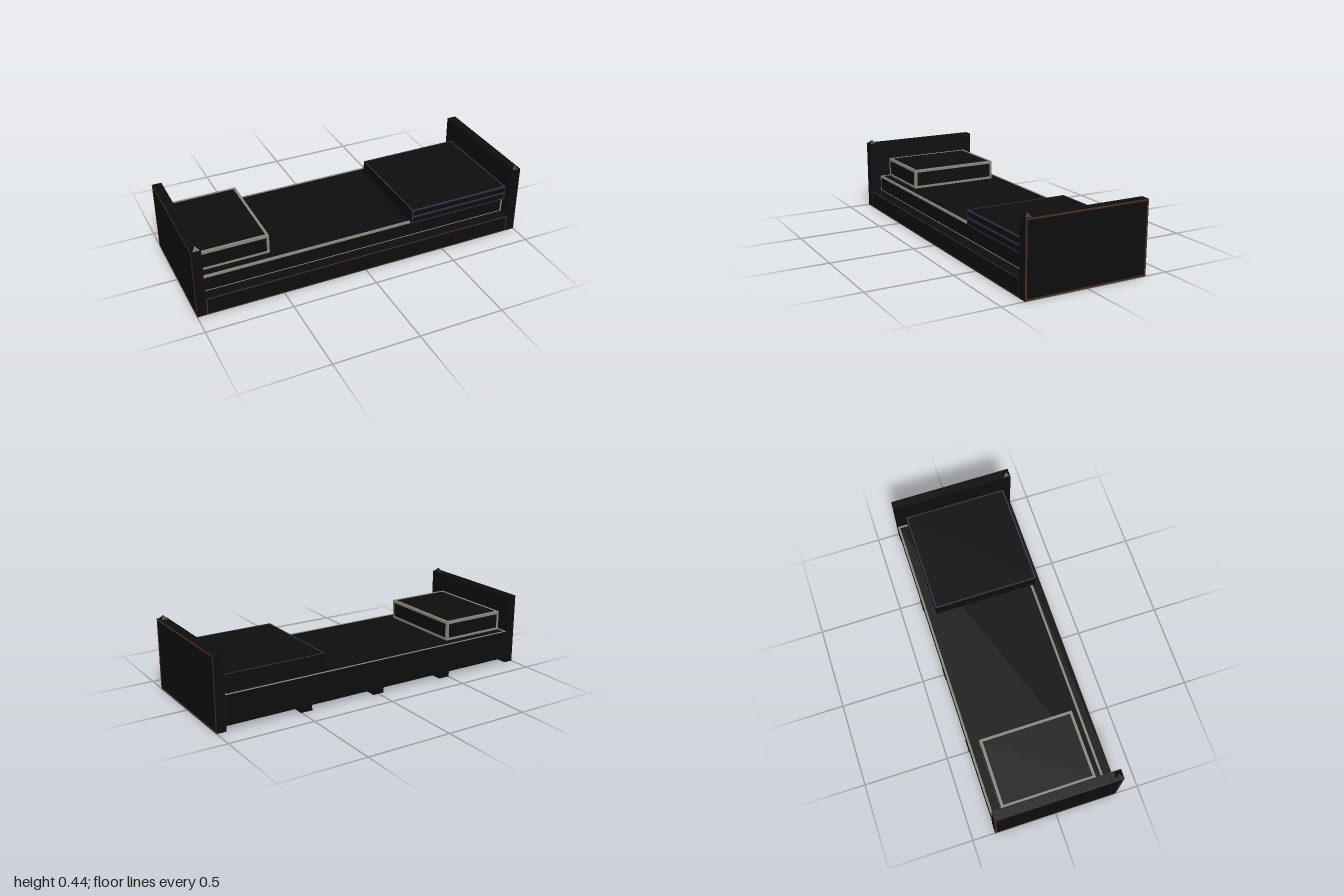
import * as THREE from 'three';

const DARK = 0x0d0d0d, CREAM = 0x85857a, BROWN = 0x4a2f1c, BLUE = 0x2a3348;

function add(parent, name, geometry, color) {
  const mesh = new THREE.Mesh(geometry, new THREE.MeshStandardMaterial({ color }));
  mesh.name = name;
  parent.add(mesh);
  return mesh;
}

// Box given by its lower and upper limits on each axis
function block(parent, name, [x0, x1], [y0, y1], [z0, z1], color = DARK) {
  const mesh = add(parent, name, new THREE.BoxGeometry(x1 - x0, y1 - y0, z1 - z0), color);
  mesh.position.set((x0 + x1) / 2, (y0 + y1) / 2, (z0 + z1) / 2);
  return mesh;
}

// Thin border lying on one side of a block
function edging(mesh, side, t, color) {
  const { width, height, depth } = mesh.geometry.parameters;
  const [w, h, d, rx, ry] = {
    front: [width, height, depth, 0, 0],
    back: [width, height, depth, 0, Math.PI],
    top: [width, depth, height, -Math.PI / 2, 0],
    left: [depth, height, width, 0, Math.PI / 2],
    right: [depth, height, width, 0, -Math.PI / 2],
  }[side];
  const rect = (Type, a, b) => new Type([[-a, -b], [a, -b], [a, b], [-a, b]].map(p => new THREE.Vector2(...p)));
  const shape = rect(THREE.Shape, w / 2, h / 2);
  shape.holes.push(rect(THREE.Path, w / 2 - t, h / 2 - t));
  const geometry = new THREE.ExtrudeGeometry(shape, { depth: 0.002, bevelEnabled: false });
  geometry.translate(0, 0, d / 2 - 0.001).rotateX(rx).rotateY(ry);
  add(mesh, side + 'Edging', geometry, color);
}

export function createModel() {
  const bed = new THREE.Group();
  bed.name = 'bed';

  // Head and foot boards, each with a small pointed finial at the front corner
  for (const s of [-1, 1]) {
    const name = s < 0 ? 'headboard' : 'footboard';
    const limits = s < 0 ? [-1, -0.945] : [0.945, 1];
    const board = block(bed, name, limits, [0, 0.42], [-0.367, 0.367]);
    edging(board, s < 0 ? 'right' : 'left', 0.01, BROWN);
    const finial = add(bed, name + 'Finial',
      new THREE.ConeGeometry(0.028, 0.022, 4, 1).rotateY(Math.PI / 4).toNonIndexed(), DARK);
    finial.geometry.computeVertexNormals();
    finial.position.set(s * 0.97, 0.431, 0.344);
  }

  // Front rail, platform and the cross slats it rests on
  const rail = block(bed, 'frontRail', [-0.945, 0.945], [0, 0.105], [0.3, 0.367]);
  edging(rail, 'front', 0.006, BROWN);
  block(bed, 'platform', [-0.945, 0.945], [0.03, 0.1], [-0.365, 0.3]);
  for (const x of [-0.47, 0, 0.47]) {
    block(bed, 'crossSlat', [x - 0.035, x + 0.035], [0, 0.03], [-0.367, 0.3]);
  }

  // Mattress
  const mattress = block(bed, 'mattress', [-0.945, 0.945], [0.1, 0.2], [-0.367, 0.3]);
  edging(mattress, 'top', 0.013, CREAM);
  edging(mattress, 'front', 0.01, CREAM);

  // Pillow
  const pillow = block(bed, 'pillow', [-0.93, -0.53], [0.2, 0.315], [-0.305, 0.24]);
  for (const side of ['top', 'front', 'back', 'left', 'right']) edging(pillow, side, 0.015, CREAM);

  // Blanket folded in two layers
  for (const [i, name] of ['blanketLower', 'blanketUpper'].entries()) {
    const y = 0.2 + i * 0.0425;
    const layer = block(bed, name, [0.315, 0.945], [y, y + 0.0425], [-0.305, 0.32]);
    edging(layer, 'front', 0.006, BLUE);
    if (i) edging(layer, 'top', 0.008, BLUE);
  }
  return bed;
}
